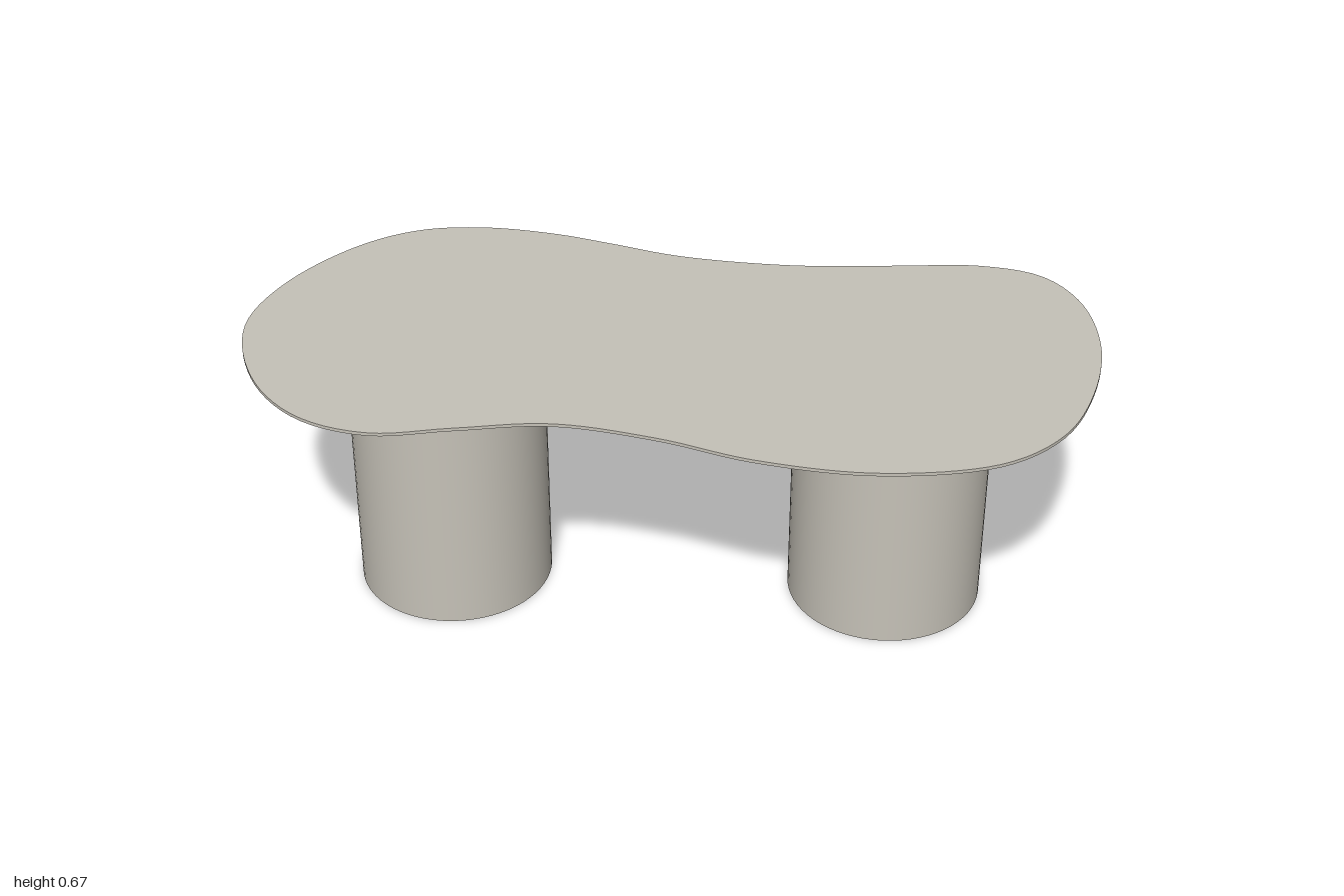
import * as THREE from 'three';

// Plan outline of the tabletop as [x, z], running left end, back, right end, front
const OUTLINE = [
  [-1, 0], [-0.945, -0.2], [-0.8, -0.395], [-0.66, -0.485], [-0.5, -0.51], [-0.32, -0.49],
  [-0.18, -0.452], [0, -0.4], [0.27, -0.375], [0.51, -0.39], [0.74, -0.405], [0.88, -0.365],
  [0.965, -0.25], [1, -0.05], [0.965, 0.17], [0.89, 0.335], [0.755, 0.45], [0.49, 0.505],
  [0.22, 0.475], [0, 0.405], [-0.235, 0.365], [-0.45, 0.398], [-0.635, 0.43], [-0.8, 0.378],
  [-0.93, 0.235],
];
const SEGMENTS = 160;
const TOP = 0.665, RIM = 0.657, UNDER = 0.625, INSET = 0.078;

export function createModel() {
  const stone = new THREE.MeshStandardMaterial({ color: 0xc6c2b8 });
  const model = new THREE.Group();
  model.name = 'coffeeTable';

  function add(parent, geometry, name) {
    const mesh = new THREE.Mesh(geometry, stone);
    mesh.name = name;
    parent.add(mesh);
    return mesh;
  }

  // Smooth closed outline, and the same outline pushed inward along its normals
  const curve = new THREE.CatmullRomCurve3(
    OUTLINE.map(([x, z]) => new THREE.Vector3(x, 0, z)), true, 'centripetal');
  const outer = [], inner = [];
  for (let i = 0; i < SEGMENTS; i++) {
    const p = curve.getPointAt(i / SEGMENTS), t = curve.getTangentAt(i / SEGMENTS);
    outer.push([p.x, p.z]);
    inner.push([p.x - t.z * INSET, p.z + t.x * INSET]);
  }

  // Band of quads between two loops at two heights
  function band(low, lowY, high, highY) {
    const positions = [], index = [];
    low.forEach(([x, z]) => positions.push(x, lowY, z));
    high.forEach(([x, z]) => positions.push(x, highY, z));
    for (let i = 0; i < SEGMENTS; i++) {
      const j = (i + 1) % SEGMENTS;
      index.push(i, SEGMENTS + i, SEGMENTS + j, i, SEGMENTS + j, j);
    }
    const g = new THREE.BufferGeometry();
    g.setAttribute('position', new THREE.Float32BufferAttribute(positions, 3));
    g.setIndex(index);
    g.computeVertexNormals();
    return g;
  }

  // Flat face filling a loop, facing up (1) or down (-1)
  function cap(loop, y, facing) {
    const shape = new THREE.Shape(loop.map(([x, z]) => new THREE.Vector2(x, -z * facing)));
    return new THREE.ShapeGeometry(shape).rotateX(-facing * Math.PI / 2).translate(0, y, 0);
  }

  // Tabletop: flat surface, thin vertical rim, bevelled underside
  const tabletop = new THREE.Group();
  tabletop.name = 'tabletop';
  model.add(tabletop);
  add(tabletop, cap(outer, TOP, 1), 'topSurface');
  add(tabletop, band(outer, RIM, outer, TOP), 'rim');
  add(tabletop, band(inner, UNDER, outer, RIM), 'bevel');
  add(tabletop, cap(inner, UNDER, -1), 'underside');

  // Two drum legs
  for (const [side, name] of [[-1, 'rightLeg'], [1, 'leftLeg']]) {
    const leg = add(model, new THREE.CylinderGeometry(0.234, 0.234, UNDER, 64), name);
    leg.position.set(side * 0.527, UNDER / 2, 0.008);
  }
  return model;
}
